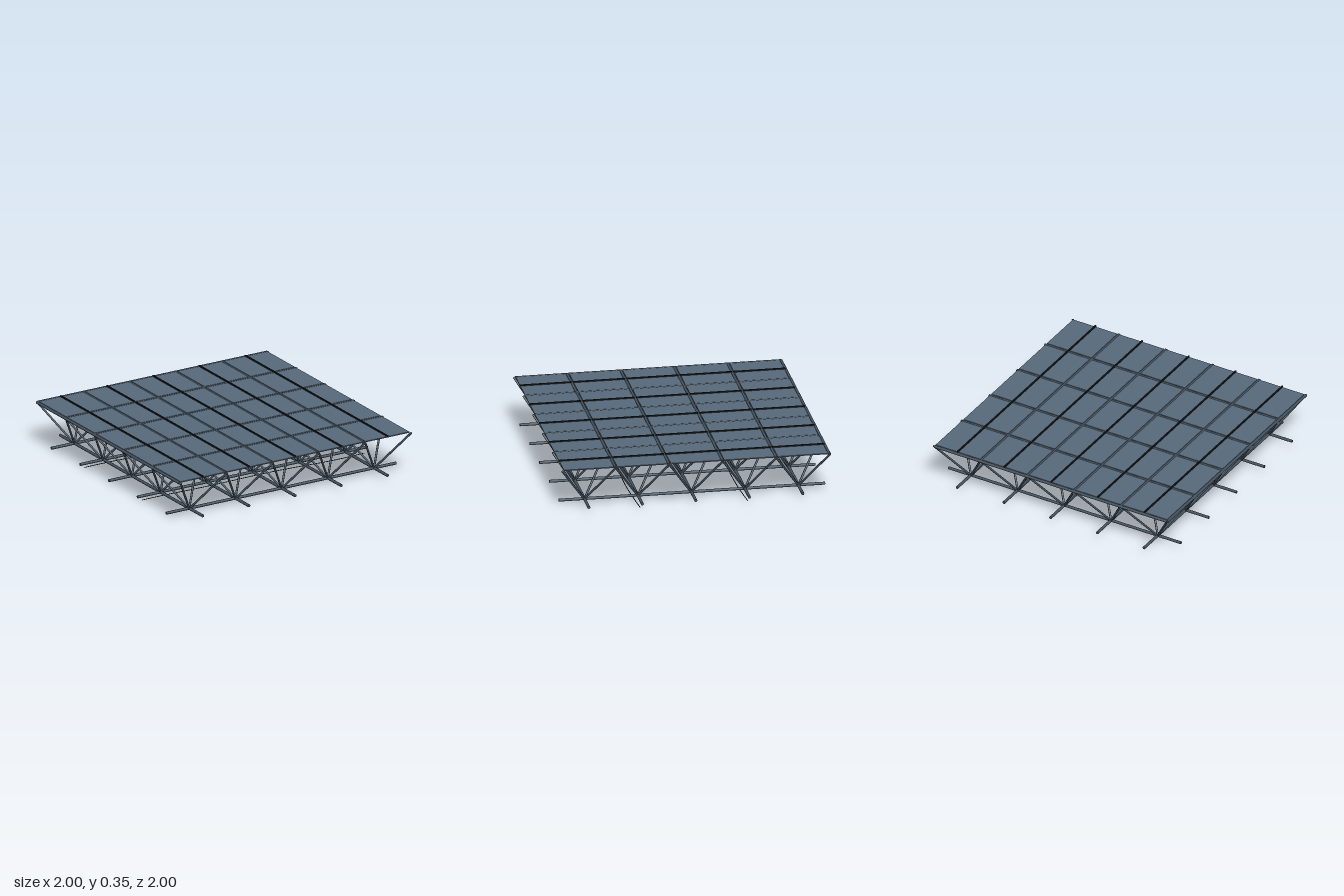
import * as THREE from 'three';

const steel = new THREE.MeshStandardMaterial({ color: 0x43515e });
steel.name = 'slate steel';
const panelBlue = new THREE.MeshStandardMaterial({ color: 0x566879 });
panelBlue.name = 'panel blue grey';
const black = new THREE.MeshStandardMaterial({ color: 0x14181b });
black.name = 'seam black';
const cableDark = new THREE.MeshStandardMaterial({ color: 0x262d2c });
cableDark.name = 'cable dark';

const N = 5, PITCH = 0.396, START = -0.988;
const TOP = 0.337, LOW = 0.043, END = 0.983;
const V = (x, y, z) => new THREE.Vector3(x, y, z);

// round bar between two points
function bar(name, a, b, radius, sides) {
  const dir = b.clone().sub(a);
  const mesh = new THREE.Mesh(new THREE.CylinderGeometry(radius, radius, dir.length(), sides), steel);
  mesh.position.copy(a).add(b).multiplyScalar(0.5);
  mesh.quaternion.setFromUnitVectors(V(0, 1, 0), dir.normalize());
  mesh.name = name;
  return mesh;
}

function box(name, w, h, d, x, y, z, material) {
  const mesh = new THREE.Mesh(new THREE.BoxGeometry(w, h, d), material);
  mesh.position.set(x, y, z);
  mesh.name = name;
  return mesh;
}

export function createModel() {
  const model = new THREE.Group();
  model.name = 'spaceFrameRoof';
  const chords = new THREE.Group(), webs = new THREE.Group(), deck = new THREE.Group();
  chords.name = 'chords';
  webs.name = 'diagonals';
  deck.name = 'deck';
  model.add(chords, webs, deck);

  // upper and lower chords, both directions
  for (let i = 0; i < N; i++) {
    const t = START + i * PITCH, m = t + PITCH / 2;
    chords.add(
      bar('topChordX', V(START, TOP, t), V(END, TOP, t), 0.011, 10),
      bar('topChordZ', V(t, TOP, START), V(t, TOP, END), 0.011, 10),
      bar('bottomChordX', V(START, LOW, m), V(END, LOW, m), 0.011, 10),
      bar('bottomChordZ', V(m, LOW, START), V(m, LOW, END), 0.011, 10));
  }

  for (let i = 0; i < N; i++) for (let j = 0; j < N; j++) {
    const x = START + (i + 0.5) * PITCH, z = START + (j + 0.5) * PITCH;
    // four diagonals form an inverted pyramid
    for (const sx of [-1, 1]) for (const sz of [-1, 1]) {
      webs.add(bar('diagonal', V(x, LOW - 0.003, z),
        V(x + sx * PITCH / 2, TOP + 0.003, z + sz * PITCH / 2), 0.008, 8));
    }
    // two panels with a raised black seam
    for (const s of [-1, 1]) {
      deck.add(box('panel', 0.186, 0.008, 0.372, x + s * 0.0955, 0.342, z, panelBlue));
    }
    deck.add(box('seam', 0.011, 0.012, 0.384, x, 0.349, z, black));
  }

  // thin cables slung beneath the lower chords
  for (const z of [0.42, -0.375]) {
    const points = [];
    for (let k = 0; k <= 32; k++) {
      const x = -0.97 + k * 0.06;
      const y = 0.018 + 0.009 * Math.cos((x - 0.25) * 5) - 0.006 * Math.max(0, x);
      points.push(V(x, y, z + 0.02 * Math.sin(x * 4)));
    }
    const cable = new THREE.Mesh(
      new THREE.TubeGeometry(new THREE.CatmullRomCurve3(points), 64, 0.003, 6), cableDark);
    cable.name = 'cable';
    model.add(cable);
  }
  return model;
}
